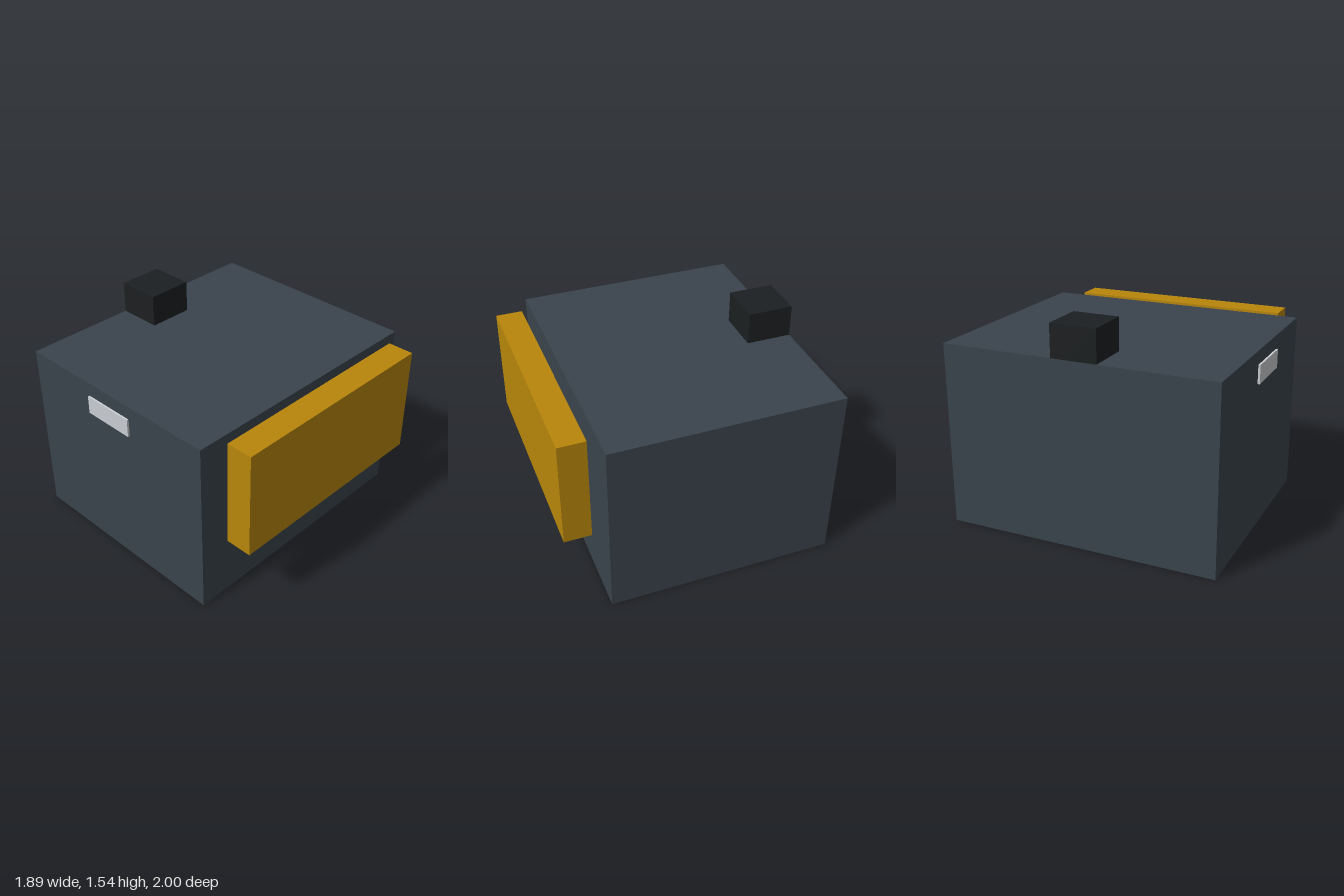
import * as THREE from 'three';

// Box given by its extents on each axis
function block(name, color, [x0, x1], [y0, y1], [z0, z1]) {
  const mesh = new THREE.Mesh(
    new THREE.BoxGeometry(x1 - x0, y1 - y0, z1 - z0),
    new THREE.MeshStandardMaterial({ color })
  );
  mesh.position.set((x0 + x1) / 2, (y0 + y1) / 2, (z0 + z1) / 2);
  mesh.name = name;
  return mesh;
}

export function createModel() {
  const model = new THREE.Group();
  model.name = 'cabinetUnit';
  model.add(
    // Main housing
    block('body', 0x3a444c, [-0.945, 0.682], [0, 1.31], [-1, 0.957]),
    // Stack on the roof, its foot sunk just inside the housing wall
    block('stack', 0x1c1f21, [-0.944, -0.624], [1.2, 1.54], [-0.185, 0.142]),
    // Panel standing off the left side
    block('sidePanel', 0xb8860b, [0.75, 0.942], [0.525, 1.31], [-0.837, 0.796]),
    // Thin plate just ahead of the front
    block('frontPlate', 0xc8ccd0, [-0.327, 0.063], [1.113, 1.243], [0.985, 1])
  );
  return model;
}
